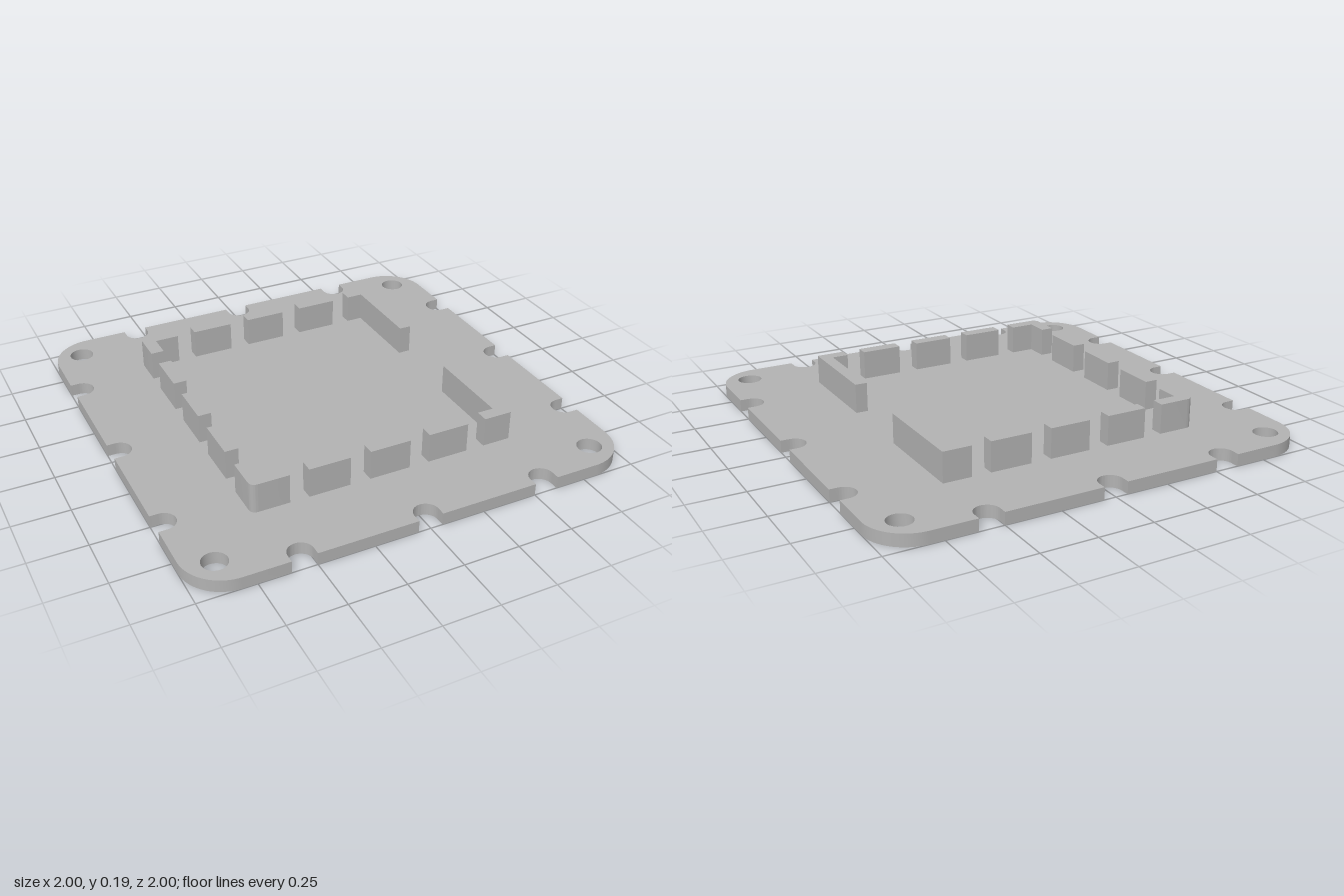
import * as THREE from 'three';
import { toCreasedNormals } from 'three/addons/utils/BufferGeometryUtils.js';

const PLATE = 0.055; // plate thickness
const TOP = 0.19; // top of the raised walls

export function createModel() {
  const grey = new THREE.MeshStandardMaterial({ color: 0xb2b2b2 });
  grey.name = 'grey';
  const model = new THREE.Group();
  model.name = 'mountingPlate';

  // Extrudes a plan (x, -z) upwards from y0 to y1
  function slab(name, shape, y0, y1) {
    const geo = new THREE.ExtrudeGeometry(shape, { depth: y1 - y0, bevelEnabled: false, curveSegments: 16 });
    geo.rotateX(-Math.PI / 2).translate(0, y0, 0);
    const mesh = new THREE.Mesh(toCreasedNormals(geo, 0.6), grey);
    mesh.name = name;
    model.add(mesh);
  }

  function block(name, x0, x1, z0, z1) {
    const mesh = new THREE.Mesh(new THREE.BoxGeometry(x1 - x0, TOP - PLATE, z1 - z0), grey);
    mesh.position.set((x0 + x1) / 2, (TOP + PLATE) / 2, (z0 + z1) / 2);
    mesh.name = name;
    model.add(mesh);
  }

  // Base plate: four equal sides, each with three round notches and a rounded corner
  const r = 0.055, notchZ = 0.962, corner = 0.19;
  const plate = new THREE.Shape();
  for (let k = 0; k < 4; k++) {
    const a = k * Math.PI / 2;
    const turn = (x, y) => new THREE.Vector2(x, y).rotateAround(new THREE.Vector2(), a);
    const line = (x, y) => { const p = turn(x, y); plate.lineTo(p.x, p.y); };
    if (k === 0) plate.moveTo(-1 + corner, -1);
    for (const c of [-0.555, 0, 0.555]) {
      line(c - r, -1);
      line(c - r, -notchZ);
      const p = turn(c, -notchZ);
      plate.absarc(p.x, p.y, r, a + Math.PI, a, true);
      line(c + r, -1);
    }
    line(1 - corner, -1);
    const q = turn(1 - corner, -1 + corner);
    plate.absarc(q.x, q.y, corner, a - Math.PI / 2, a, false);
  }
  // Corner screw holes
  for (const x of [-0.87, 0.87]) for (const y of [-0.87, 0.87]) {
    plate.holes.push(new THREE.Path().absarc(x, y, r, 0, Math.PI * 2, true));
  }
  slab('basePlate', plate, 0, PLATE);

  // Raised walls, mirrored front to back
  for (const s of [1, -1]) {
    const end = s > 0 ? 'back' : 'front';

    // L-shaped corner with a rounded outer edge
    const round = new THREE.Shape();
    round.moveTo(-0.63, s * 0.5);
    round.lineTo(-0.63, s * 0.632);
    round.quadraticCurveTo(-0.63, s * 0.665, -0.597, s * 0.665);
    round.lineTo(-0.46, s * 0.665);
    round.lineTo(-0.46, s * 0.607);
    round.lineTo(-0.57, s * 0.607);
    round.lineTo(-0.57, s * 0.5);
    slab(end + 'RoundedCornerWall', round, PLATE, TOP);

    // L-shaped corner with a long arm
    const square = new THREE.Shape([
      [0.46, 0.665], [0.59, 0.665], [0.59, 0.2], [0.535, 0.2], [0.535, 0.607], [0.46, 0.607],
    ].map(([x, y]) => new THREE.Vector2(x, s * y)));
    slab(end + 'LongCornerWall', square, PLATE, TOP);

    // Row of short walls
    const z = -s * 0.636;
    for (const x of [-0.28, 0, 0.28]) block(end + 'Wall', x - 0.094, x + 0.094, z - 0.029, z + 0.029);
  }

  // Short walls along the right side
  for (const z of [-0.3, 0, 0.3]) block('sideWall', -0.63, -0.57, z - 0.1, z + 0.1);

  return model;
}
